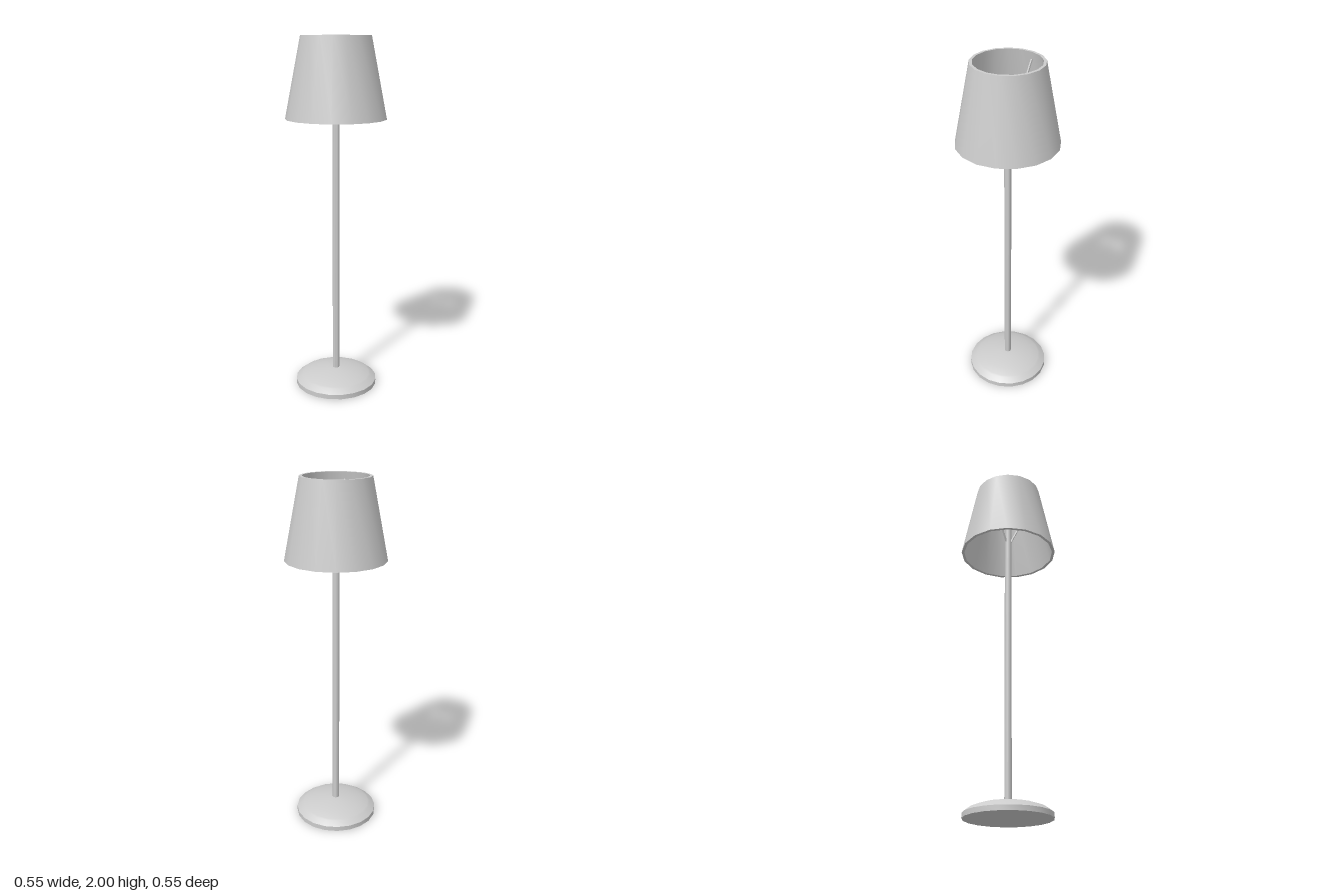
import * as THREE from 'three';
import { toCreasedNormals } from 'three/addons/utils/BufferGeometryUtils.js';

const CENTER_X = -0.0024; // odd-sided shade shifts the axis slightly

export function createModel() {
  const lamp = new THREE.Group();
  lamp.name = 'floorLamp';
  const material = new THREE.MeshStandardMaterial({ color: 0xcccccc });

  const add = (name, geometry, parent = lamp) => {
    const mesh = new THREE.Mesh(geometry, material);
    mesh.name = name;
    parent.add(mesh);
    return mesh;
  };

  // Revolve [radius, height] points, keeping profile corners sharp
  const turned = (points, sides, crease) => toCreasedNormals(
    new THREE.LatheGeometry(points.map(([r, y]) => new THREE.Vector2(r, y)), sides, Math.PI / 2),
    crease
  );

  // Stepped foot with a shallow dome
  add('base', turned([
    [0, 0], [0.236, 0], [0.236, 0.027], [0.205, 0.05], [0.195, 0.055],
    [0.15, 0.07], [0.1, 0.081], [0.05, 0.088], [0, 0.091],
  ], 20, 0.42));

  // Slender upright
  const poleBottom = 0.08, poleTop = 1.77;
  const pole = add('pole', toCreasedNormals(
    new THREE.CylinderGeometry(0.02, 0.02, poleTop - poleBottom, 9), 0.9));
  pole.position.y = (poleBottom + poleTop) / 2;
  pole.rotation.y = -Math.PI / 2;

  // Bulb on top of the upright
  add('bulb', new THREE.SphereGeometry(0.04, 9, 7)).position.y = 1.79;

  // Tapered open shade with a thick wall
  add('shade', turned([
    [0.262, 1.56], [0.278, 1.56], [0.191, 2], [0.176, 2], [0.262, 1.56],
  ], 17, 0.6));

  // Three sloping struts carry the shade from the upright
  const struts = new THREE.Group();
  struts.name = 'shadeStruts';
  lamp.add(struts);
  const inner = new THREE.Vector3(0, 1.63, 0.01);
  const outer = new THREE.Vector3(0, 1.96, 0.18);
  const span = outer.clone().sub(inner);
  for (let i = 0; i < 3; i++) {
    const arm = new THREE.Group();
    arm.name = 'strutArm';
    arm.rotation.y = (i * Math.PI * 2) / 3;
    struts.add(arm);
    const strut = add('strut', new THREE.BoxGeometry(0.008, span.length(), 0.008), arm);
    strut.position.copy(inner).add(outer).multiplyScalar(0.5);
    strut.rotation.x = Math.atan2(span.z, span.y);
  }

  lamp.children.forEach((part) => { part.position.x = CENTER_X; });
  return lamp;
}
